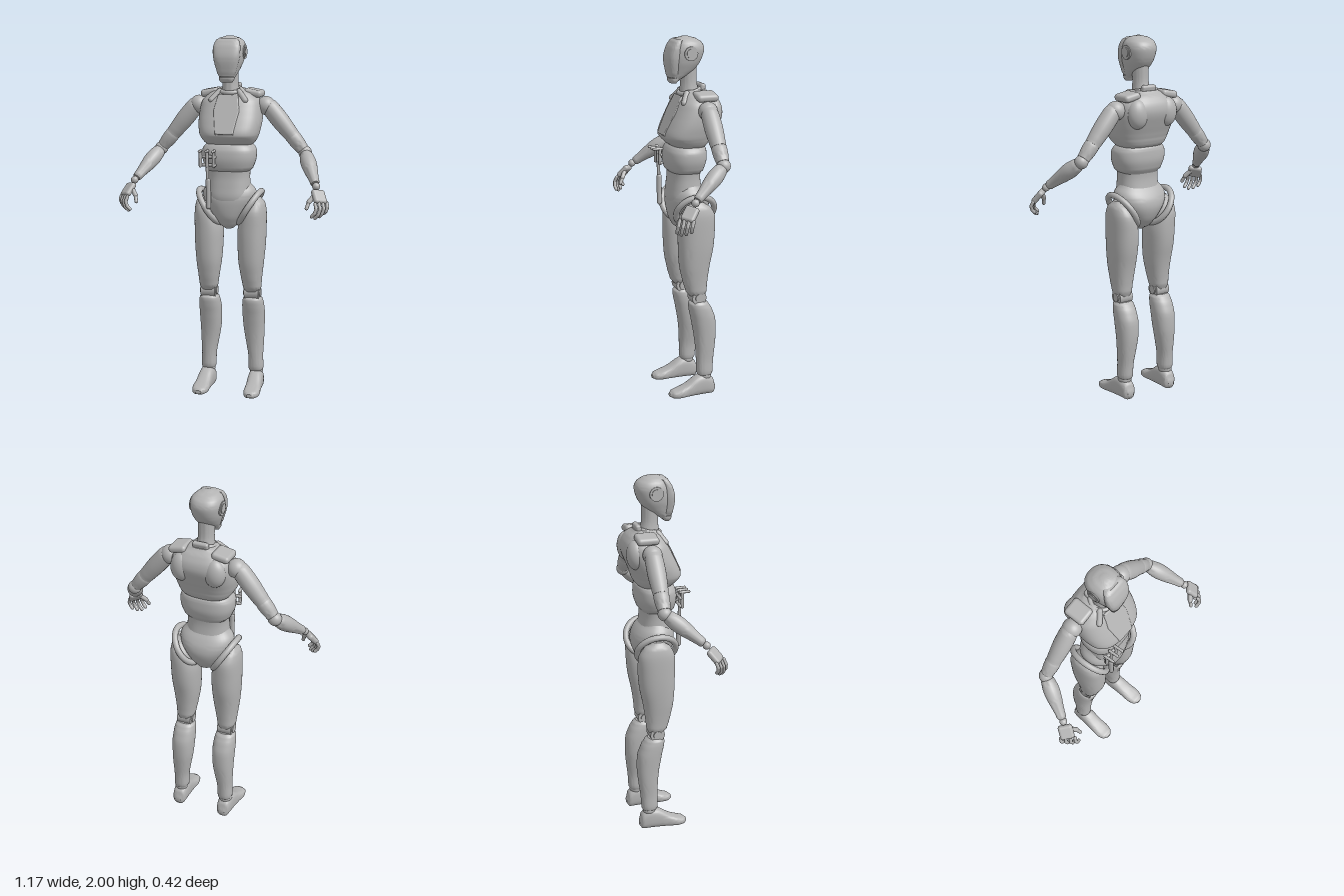
import * as THREE from 'three';
import { toCreasedNormals } from 'three/addons/utils/BufferGeometryUtils.js';
import { RoundedBoxGeometry } from 'three/addons/geometries/RoundedBoxGeometry.js';

const V = (x, y, z) => new THREE.Vector3(x, y, z);
const UP = V(0, 1, 0);

// Smoothly resample section rows
function smoothRows(rows, steps = 4) {
  const out = [];
  const at = i => rows[Math.max(0, Math.min(rows.length - 1, i))];
  for (let i = 0; i < rows.length - 1; i++) {
    for (let s = 0; s < steps; s++) {
      const t = s / steps;
      out.push(rows[i].map((b, k) => {
        const a = at(i - 1)[k], c = at(i + 1)[k], d = at(i + 2)[k];
        if (k === 0) return b + (c - b) * t;
        return 0.5 * (2 * b + (c - a) * t + (2 * a - 5 * b + 4 * c - d) * t * t + (3 * b - a - 3 * c + d) * t * t * t);
      }));
    }
  }
  out.push(rows[rows.length - 1]);
  return out;
}

// Closed loft of superellipse sections: [y, centreX, frontZ, backZ, halfWidth], y rising
function loft(rows, power = 2.3, seg = 36) {
  const rings = smoothRows(rows), pos = [], idx = [];
  const e = 2 / power;
  const bend = v => Math.sign(v) * Math.pow(Math.abs(v), e);
  for (const [y, cx, zf, zb, hw] of rings) {
    for (let j = 0; j < seg; j++) {
      const a = j / seg * Math.PI * 2;
      pos.push(cx + hw * bend(Math.cos(a)), y, (zf + zb) / 2 + (zf - zb) / 2 * bend(Math.sin(a)));
    }
  }
  const last = rings.length - 1;
  for (let i = 0; i < last; i++) {
    for (let j = 0; j < seg; j++) {
      const a = i * seg + j, b = i * seg + (j + 1) % seg;
      idx.push(a, a + seg, b + seg, a, b + seg, b);
    }
  }
  for (const i of [0, last]) {
    const c = pos.length / 3, [y, cx, zf, zb] = rings[i];
    pos.push(cx, y, (zf + zb) / 2);
    for (let j = 0; j < seg; j++) {
      const a = i * seg + j, b = i * seg + (j + 1) % seg;
      if (i === 0) idx.push(c, a, b); else idx.push(c, b, a);
    }
  }
  const g = new THREE.BufferGeometry();
  g.setAttribute('position', new THREE.Float32BufferAttribute(pos, 3));
  g.setIndex(idx);
  return toCreasedNormals(g, 0.7);
}

export function createModel() {
  const root = new THREE.Group();
  root.name = 'jointedFigure';
  const grey = new THREE.MeshStandardMaterial({ color: 0xb4b4b4 });
  grey.name = 'plain grey';

  const add = (name, geo, p = V(0, 0, 0), parent = root) => {
    const m = new THREE.Mesh(geo, grey);
    m.name = name;
    m.position.copy(p);
    parent.add(m);
    return m;
  };
  const ball = (name, p, r, parent) => add(name, new THREE.SphereGeometry(r, 24, 16), p, parent);
  const aim = (m, a, b) => m.quaternion.setFromUnitVectors(UP, b.clone().sub(a).normalize());
  // Round limb from a to b with [fraction, radius] rows
  const limb = (name, a, b, rows, parent) => {
    const len = a.distanceTo(b);
    aim(add(name, loft(rows.map(([t, r]) => [t * len, 0, r, -r, r]), 2, 24), a, parent), a, b);
  };
  const rod = (name, a, b, r, parent) => {
    const g = new THREE.CapsuleGeometry(r, a.distanceTo(b), 4, 10);
    aim(add(name, g, a.clone().lerp(b, 0.5), parent), a, b);
  };

  // Head
  add('skull', loft([
    [1.765, 0, 0.04, 0.0, 0.035], [1.79, 0, 0.045, -0.04, 0.047], [1.82, 0, 0.05, -0.085, 0.06],
    [1.86, 0, 0.055, -0.118, 0.075], [1.90, 0, 0.054, -0.136, 0.083], [1.94, 0, 0.045, -0.142, 0.085],
    [1.97, 0, 0.03, -0.127, 0.075], [1.99, 0, 0.01, -0.095, 0.052], [2.0, 0, -0.02, -0.06, 0.02]], 2.3));
  add('facePlate', loft([
    [1.785, 0, 0.058, 0.0, 0.042], [1.80, 0, 0.062, 0.0, 0.05], [1.86, 0, 0.071, 0.0, 0.066],
    [1.90, 0, 0.069, 0.0, 0.073], [1.95, 0, 0.052, 0.0, 0.073], [1.98, 0, 0.033, -0.01, 0.062],
    [1.99, 0, 0.02, -0.02, 0.045]], 3));
  add('chin', loft([
    [1.753, 0, 0.046, 0.015, 0.032], [1.765, 0, 0.054, 0.005, 0.04], [1.782, 0, 0.056, 0.0, 0.043]], 3));
  add('neck', loft([
    [1.66, 0, -0.01, -0.13, 0.06], [1.71, 0, -0.012, -0.115, 0.048], [1.76, 0, -0.015, -0.105, 0.043],
    [1.85, 0, -0.01, -0.105, 0.045]], 2));
  const collar = add('collarRing', new THREE.TorusGeometry(0.058, 0.012, 10, 32), V(0, 1.705, -0.065));
  collar.rotation.x = Math.PI / 2 + 0.2;
  add('napeGuard', new RoundedBoxGeometry(0.09, 0.05, 0.03, 3, 0.012), V(0, 1.72, -0.13)).rotation.x = -0.2;

  // Torso
  add('chest', loft([
    [1.395, 0, 0.02, -0.12, 0.105], [1.42, 0, 0.055, -0.145, 0.135], [1.445, 0, 0.082, -0.157, 0.152],
    [1.47, 0, 0.097, -0.165, 0.163], [1.53, 0, 0.076, -0.188, 0.173], [1.60, 0, 0.043, -0.212, 0.172],
    [1.65, 0, 0.018, -0.206, 0.16], [1.69, 0, -0.012, -0.18, 0.12], [1.715, 0, -0.035, -0.15, 0.07]], 2.7, 48));
  const bib = new THREE.Shape([[-0.045, 0], [0.045, 0], [0.066, 0.13], [0.05, 0.22], [-0.05, 0.22], [-0.066, 0.13]]
    .map(([x, y]) => new THREE.Vector2(x, y)));
  const plate = add('breastPlate', new THREE.ExtrudeGeometry(bib,
    { depth: 0.02, bevelSize: 0.006, bevelThickness: 0.006, bevelSegments: 3 }), V(0, 1.472, 0.077));
  plate.rotation.x = -0.45;
  add('ribSection', loft([
    [1.26, 0, 0.045, -0.115, 0.11], [1.28, 0, 0.065, -0.13, 0.13], [1.33, 0, 0.076, -0.145, 0.148],
    [1.38, 0, 0.072, -0.145, 0.15], [1.405, 0, 0.06, -0.14, 0.137], [1.43, 0, 0.04, -0.12, 0.11]], 2.5));
  add('waist', loft([
    [1.05, 0, 0.05, -0.13, 0.10], [1.12, 0, 0.066, -0.135, 0.12], [1.18, 0, 0.06, -0.122, 0.118],
    [1.24, 0, 0.053, -0.115, 0.115], [1.31, 0, 0.055, -0.12, 0.12]], 2.4));
  add('pelvis', loft([
    [0.945, 0, 0.005, -0.075, 0.025], [0.965, 0, 0.03, -0.11, 0.05], [1.01, 0, 0.053, -0.146, 0.085],
    [1.07, 0, 0.063, -0.167, 0.125], [1.12, 0, 0.063, -0.162, 0.148], [1.16, 0, 0.05, -0.14, 0.145],
    [1.20, 0, 0.03, -0.11, 0.115]], 2.3));

  // Clipped tool on the model's right side of the belly
  const tool = new THREE.Group();
  tool.name = 'beltTool';
  root.add(tool);
  for (const x of [-0.135, -0.097, -0.06]) {
    rod('clipBar', V(x, 1.30, 0.082), V(x, 1.38, 0.082), 0.009, tool);
    rod('clipPeg', V(x, 1.383, 0.07), V(x + 0.004, 1.383, 0.12), 0.008, tool);
  }
  for (const y of [1.305, 1.35]) rod('clipBand', V(-0.135, y, 0.072), V(-0.055, y, 0.076), 0.009, tool);
  rod('toolNeck', V(-0.095, 1.20, 0.076), V(-0.097, 1.30, 0.08), 0.009, tool);
  rod('toolHandle', V(-0.091, 1.075, 0.076), V(-0.093, 1.22, 0.076), 0.014, tool);

  for (const s of [1, -1]) {
    const P = (x, y, z) => V(s * x, y, z);
    const side = s > 0 ? 'left' : 'right';

    // Ear disc
    for (const [r, x, w] of [[0.038, 0.077, 0.02], [0.026, 0.082, 0.018]]) {
      add(side + 'EarDisc', new THREE.CylinderGeometry(r, r, w, 32), P(x, 1.915, -0.045)).rotation.z = Math.PI / 2;
    }

    // Shoulder plate, collarbone and shoulder blade
    const pad = add(side + 'ShoulderPlate', new RoundedBoxGeometry(0.10, 0.04, 0.12, 4, 0.018), P(0.122, 1.69, -0.112));
    pad.rotation.z = -s * 0.18;
    rod(side + 'Collarbone', P(0.055, 1.70, -0.03), P(0.095, 1.655, 0.0), 0.016);
    const blade = ball(side + 'ShoulderBlade', P(0.095, 1.60, -0.165), 0.05);
    blade.scale.set(1.2, 1.6, 1);

    // Arm
    const arm = new THREE.Group();
    arm.name = side + 'Arm';
    root.add(arm);
    const S = P(0.205, 1.62, -0.1), E = P(0.41, 1.37, -0.1), W = P(0.508, 1.212, 0.095);
    ball('shoulderJoint', P(0.19, 1.62, -0.1), 0.052, arm);
    limb('upperArm', S, E, [[-0.08, 0.03], [0, 0.045], [0.12, 0.049], [0.35, 0.049], [0.6, 0.043], [0.66, 0.041]], arm);
    limb('elbowSleeve', S, E, [[0.62, 0.036], [0.68, 0.041], [0.8, 0.04], [0.94, 0.034]], arm);
    ball('elbowJoint', E, 0.037, arm);
    limb('forearm', E, W, [[0.04, 0.028], [0.1, 0.036], [0.3, 0.043], [0.5, 0.039], [0.75, 0.029], [0.9, 0.025], [0.93, 0.021]], arm);
    ball('wristJoint', W, 0.021, arm);

    // Hand
    const K = P(0.546, 1.132, 0.157), row = P(0.058, 0, -0.064);
    const yAxis = K.clone().sub(W).normalize();
    const zAxis = row.clone().cross(yAxis).normalize();
    const xAxis = yAxis.clone().cross(zAxis);
    const palm = add('palm', new RoundedBoxGeometry(0.078, 0.085, 0.032, 4, 0.015), W.clone().lerp(K, 0.62), arm);
    palm.quaternion.setFromRotationMatrix(new THREE.Matrix4().makeBasis(xAxis, yAxis, zAxis));
    for (let f = 0; f < 4; f++) {
      const l = [0.95, 1.08, 1, 0.8][f];
      let a = K.clone().addScaledVector(row, (f - 1.5) / 3.4);
      for (const d of [[0.008, -0.028, 0.01], [-0.009, -0.026, 0.003], [-0.016, -0.017, -0.004]]) {
        const b = a.clone().add(P(...d).multiplyScalar(l));
        rod('finger', a, b, 0.0095, arm);
        a = b;
      }
    }
    rod('thumb', P(0.512, 1.175, 0.135), P(0.482, 1.137, 0.162), 0.013, arm);
    rod('thumb', P(0.482, 1.137, 0.162), P(0.473, 1.105, 0.178), 0.01, arm);

    // Hip rim
    const rim = add(side + 'HipRim', new THREE.TorusGeometry(0.108, 0.017, 12, 40), P(0.115, 1.06, -0.057));
    rim.quaternion.setFromUnitVectors(V(0, 0, 1), P(0.84, -0.54, 0).normalize());

    // Leg
    const leg = new THREE.Group();
    leg.name = side + 'Leg';
    root.add(leg);
    const part = (name, rows, power) => add(name, loft(rows.map(([y, x, ...r]) => [y, s * x, ...r]), power), undefined, leg);
    part('thigh', [
      [0.585, 0.125, -0.02, -0.108, 0.042], [0.605, 0.125, -0.003, -0.117, 0.05], [0.66, 0.123, 0.014, -0.122, 0.057],
      [0.75, 0.121, 0.033, -0.135, 0.069], [0.85, 0.122, 0.04, -0.155, 0.076], [0.95, 0.124, 0.041, -0.163, 0.077],
      [1.04, 0.136, 0.036, -0.16, 0.064], [1.09, 0.146, 0.01, -0.13, 0.045], [1.12, 0.15, -0.03, -0.085, 0.02]], 2.3);
    add('kneeJoint', new THREE.CylinderGeometry(0.041, 0.041, 0.082, 28), P(0.125, 0.575, -0.065), leg).rotation.z = Math.PI / 2;
    add('kneePin', new THREE.CylinderGeometry(0.024, 0.024, 0.096, 24), P(0.125, 0.575, -0.065), leg).rotation.z = Math.PI / 2;
    part('shin', [
      [0.105, 0.138, -0.075, -0.14, 0.032], [0.125, 0.138, -0.062, -0.151, 0.041], [0.20, 0.136, -0.06, -0.156, 0.041],
      [0.28, 0.131, -0.057, -0.166, 0.05], [0.36, 0.126, -0.048, -0.173, 0.058], [0.45, 0.125, -0.032, -0.168, 0.062],
      [0.51, 0.125, -0.02, -0.145, 0.06], [0.54, 0.125, -0.02, -0.125, 0.054], [0.552, 0.125, -0.035, -0.11, 0.044]], 2.3);
    ball('ankleJoint', P(0.14, 0.11, -0.107), 0.038, leg);

    // Foot, lofted from heel to toe
    part('foot', [
      [-0.165, 0.14, -0.018, -0.05, 0.018], [-0.152, 0.14, 0, -0.09, 0.034], [-0.11, 0.141, 0, -0.118, 0.041],
      [-0.06, 0.143, 0, -0.113, 0.042], [0, 0.146, 0, -0.075, 0.043], [0.05, 0.148, 0, -0.053, 0.046],
      [0.088, 0.148, -0.003, -0.042, 0.036], [0.105, 0.147, -0.01, -0.03, 0.016]], 2.8).rotation.x = Math.PI / 2;
  }
  return root;
}
